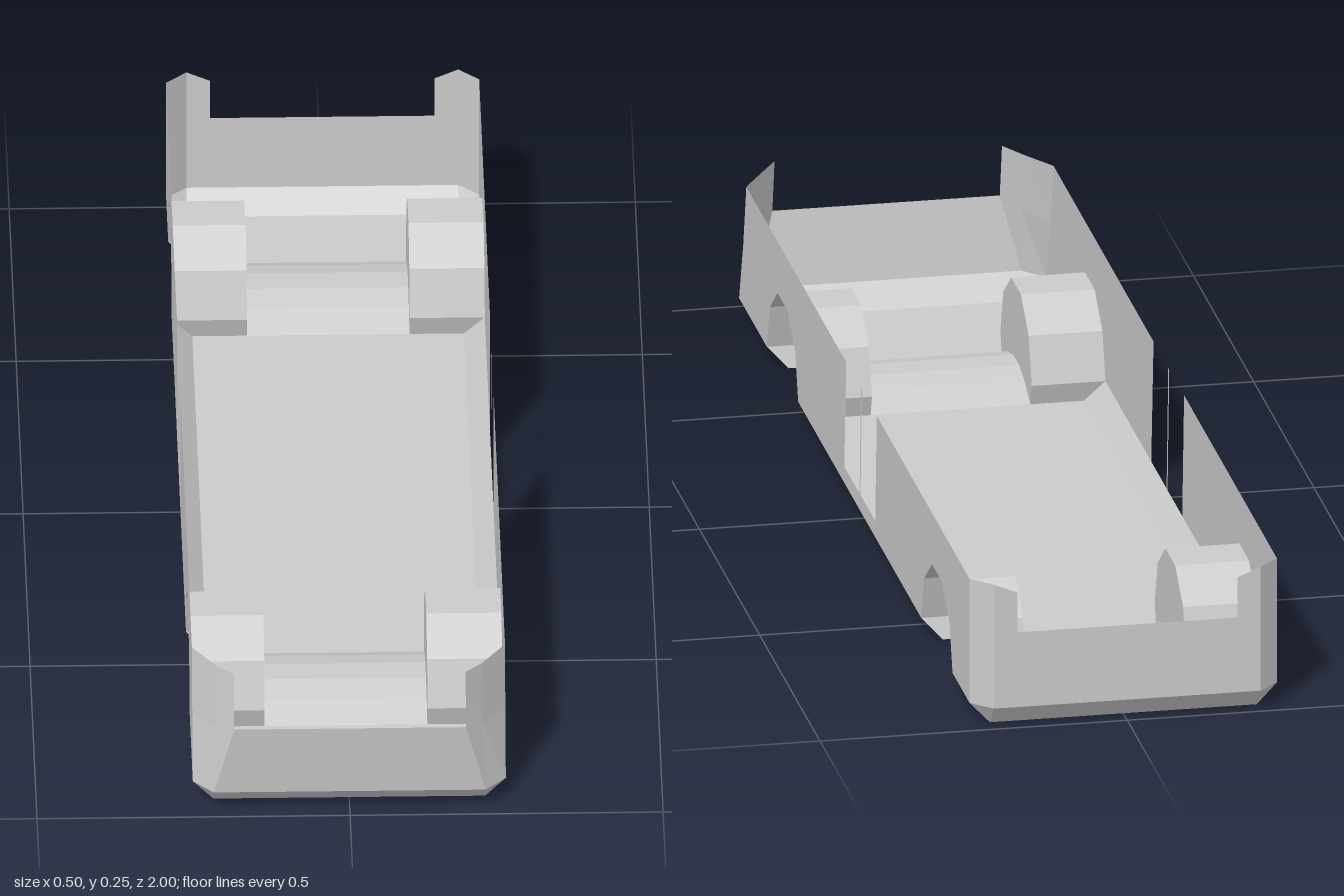
import * as THREE from 'three';

const material = new THREE.MeshStandardMaterial({ color: 0xcccccc, flatShading: true, side: THREE.DoubleSide });

const W = 0.25, FLOOR_W = 0.217, WELL_X = 0.13; // half widths: body, floor, inner face of wells
const SILL = 0.035, TOP = 0.246;
const AXLES = [0.585, -0.695];

// Half-decagon wheel arch and the low floor hump, as [z, y] around an axle
const ARCH = [[-0.119, 0]];
for (let i = 0; i < 6; i++) {
  const a = Math.PI * (1 - i / 5);
  ARCH.push([0.13 * Math.cos(a), SILL + 0.13 * Math.sin(a)]);
}
ARCH.push([0.119, 0]);
const HUMP = [[-0.119, 0], [-0.07, 0.022], [-0.025, 0.033], [0.025, 0.033], [0.07, 0.022], [0.119, 0]];
const shift = (pts, dz) => pts.map(([z, y]) => [z + dz, y]);

export function createModel() {
  const model = new THREE.Group();

  function add(name, geometry, parent = model) {
    const mesh = new THREE.Mesh(geometry, material);
    mesh.name = name;
    parent.add(mesh);
    return mesh;
  }

  // Ruled surface between two polylines of equal length
  function strip(name, a, b, parent) {
    const p = [];
    for (let i = 0; i + 1 < a.length; i++) {
      p.push(...a[i], ...b[i], ...b[i + 1], ...a[i], ...b[i + 1], ...a[i + 1]);
    }
    const g = new THREE.BufferGeometry();
    g.setAttribute('position', new THREE.Float32BufferAttribute(p, 3));
    g.computeVertexNormals();
    return add(name, g, parent);
  }

  // Flat panel at a given x, outlined by [z, y] points
  function sidePanel(name, pts, x, parent) {
    const shape = new THREE.Shape(pts.map(([z, y]) => new THREE.Vector2(-z, y)));
    const g = new THREE.ShapeGeometry(shape);
    g.rotateY(Math.PI / 2);
    g.translate(x, 0, 0);
    return add(name, g, parent);
  }

  // Floor centre with a hump over each axle
  const floorLine = [[-0.967, 0], ...shift(HUMP, AXLES[1]), ...shift(HUMP, AXLES[0]), [0.94, 0]];
  strip('floor', floorLine.map(([z, y]) => [-WELL_X, y, z]), floorLine.map(([z, y]) => [WELL_X, y, z]));

  // Front and rear walls with their bottom chamfers
  const frontLine = [[FLOOR_W, 0, 0.94], [FLOOR_W, SILL, 0.983], [0.185, 0.159, 1]];
  const rearLine = [[FLOOR_W, 0, -0.967], [FLOOR_W, SILL, -1], [FLOOR_W, 0.162, -1]];
  for (const [name, line] of [['frontWall', frontLine], ['rearWall', rearLine]]) {
    strip(name, line.map(([x, y, z]) => [-x, y, z]), line);
  }

  for (const s of [1, -1]) {
    const side = new THREE.Group();
    side.name = s > 0 ? 'leftSide' : 'rightSide';
    model.add(side);
    const P = (x, y, z) => [s * x, y, z];

    // Floor edges and sloping sills between the wheel arches
    const floorEnds = [-0.967, AXLES[1] - 0.119, AXLES[1] + 0.119, AXLES[0] - 0.119, AXLES[0] + 0.119, 0.94];
    const sillEnds = [-0.967, AXLES[1] - 0.13, AXLES[1] + 0.13, AXLES[0] - 0.13, AXLES[0] + 0.13, 0.945];
    for (let i = 0; i < 6; i += 2) {
      const [f0, f1, s0, s1] = [floorEnds[i], floorEnds[i + 1], sillEnds[i], sillEnds[i + 1]];
      strip('floorEdge', [P(WELL_X, 0, f0), P(WELL_X, 0, f1)], [P(FLOOR_W, 0, f0), P(FLOOR_W, 0, f1)], side);
      strip('sill', [P(FLOOR_W, 0, f0), P(FLOOR_W, 0, f1)], [P(W, SILL, s0), P(W, SILL, s1)], side);
    }

    // Wheel wells: arched shell and inner face
    for (const axle of AXLES) {
      const arch = shift(ARCH, axle);
      strip('wheelWell', arch.map(([z, y]) => P(WELL_X, y, z)),
        arch.map(([z, y]) => P(y < 0.01 ? FLOOR_W : W, y, z)), side);
      sidePanel('wheelWellInnerFace', [...arch, ...shift(HUMP, axle).reverse().slice(1, -1)], s * WELL_X, side);
    }

    // Side walls with arches cut out, and the slim pillar in the door opening
    const cut = (axle) => shift(ARCH.slice(1, -1), axle);
    sidePanel('frontSideWall', [[0.075, SILL], ...cut(AXLES[0]), [0.945, SILL], [0.91, 0.14],
      [0.885, TOP], [0.056, TOP]], s * W, side);
    sidePanel('rearSideWall', [[-0.967, SILL], ...cut(AXLES[1]), [-0.182, SILL], [-0.197, TOP],
      [-0.967, TOP]], s * W, side);
    sidePanel('doorPillar', [[-0.06, SILL], [-0.052, SILL], [-0.066, TOP], [-0.074, TOP]], s * W, side);

    // Folded front corner, from side wall round to front wall
    const outer = [P(W, SILL, 0.945), P(W, 0.14, 0.91), P(W, TOP, 0.885)];
    const middle = [P(FLOOR_W, SILL, 0.983), P(0.213, 0.145, 0.967), P(0.213, TOP, 0.945)];
    const inner = [P(FLOOR_W, SILL, 0.983), P(0.185, 0.159, 1), P(0.185, 0.25, 0.982)];
    strip('frontCornerOuter', outer, middle, side);
    strip('frontCornerInner', middle, inner, side);
    strip('frontCornerSill', [P(FLOOR_W, 0, 0.94), P(FLOOR_W, 0, 0.94)],
      [P(W, SILL, 0.945), P(FLOOR_W, SILL, 0.983)], side);

    // Chamfered rear corner and the narrow post beside the rear opening
    strip('rearCorner', [P(W, SILL, -0.967), P(W, TOP, -0.967)],
      [P(FLOOR_W, SILL, -1), P(FLOOR_W, TOP, -1)], side);
    strip('rearCornerSill', [P(FLOOR_W, 0, -0.967), P(FLOOR_W, 0, -0.967)],
      [P(W, SILL, -0.967), P(FLOOR_W, SILL, -1)], side);
    strip('rearPost', [P(FLOOR_W, 0.162, -1), P(FLOOR_W, TOP, -1)],
      [P(0.179, 0.162, -1), P(0.179, 0.23, -1)], side);
  }
  return model;
}
